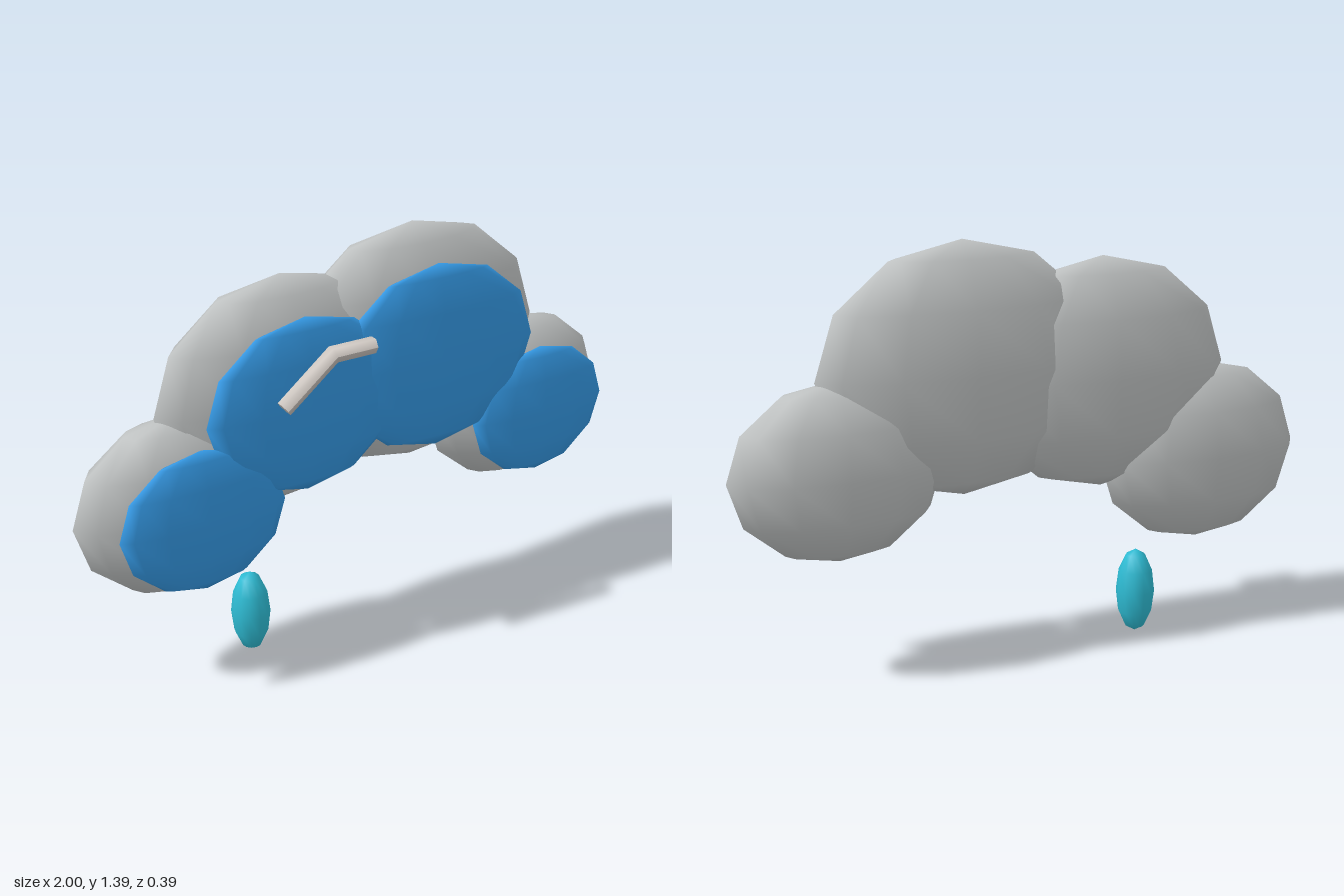
import * as THREE from 'three';

export function createModel() {
  const model = new THREE.Group();
  model.name = 'cloud';

  const material = (name, color) => {
    const m = new THREE.MeshStandardMaterial({ color });
    m.name = name;
    return m;
  };
  const grey = material('cloudGrey', 0xbec1c1);
  const blue = material('faceBlue', 0x3498e3);
  const teal = material('dropTeal', 0x2ebcd4);
  const pale = material('browPale', 0xcfc8c2);

  // Smooth low-poly ellipsoid
  const ellipsoid = (name, mat, [x, y, z], [rx, ry, rz]) => {
    const geometry = new THREE.SphereGeometry(1, 12, 6);
    geometry.scale(rx, ry, rz);
    const mesh = new THREE.Mesh(geometry, mat);
    mesh.name = name;
    mesh.position.set(x, y, z);
    model.add(mesh);
  };

  // Puffs: centre x, y, outer radii, then the radii of the blue front panel
  const puffs = [
    ['rightSide', -0.63, 0.623, 0.37, 0.308, 0.285, 0.24],
    ['rightTop', -0.262, 0.925, 0.45, 0.385, 0.348, 0.293],
    ['leftTop', 0.225, 0.98, 0.488, 0.412, 0.378, 0.315],
    ['leftSide', 0.647, 0.692, 0.353, 0.292, 0.27, 0.228],
  ];
  for (const [name, x, y, rx, ry, px, py] of puffs) {
    ellipsoid(name + 'Puff', grey, [x, y, -0.05], [rx, ry, 0.146]);
    ellipsoid(name + 'Panel', blue, [x, y, 0.102], [px, py, 0.046]);
  }

  // Raindrop under the right side
  ellipsoid('raindrop', teal, [-0.4, 0.149, -0.05], [0.065, 0.147, 0.067]);

  // Bent hexagonal bar: a cylinder whose three rings follow a mitred path
  const path = [[-0.38, 0.965], [-0.205, 1.105], [-0.06, 1.105]].map(p => new THREE.Vector2(...p));
  const dirs = [path[1].clone().sub(path[0]).normalize(), path[2].clone().sub(path[1]).normalize()];
  const middle = dirs[0].clone().add(dirs[1]).normalize();
  const tangents = [dirs[0], middle, dirs[1]];
  const bar = new THREE.CylinderGeometry(0.027, 0.027, 2, 6, 2);
  const pos = bar.attributes.position;
  for (let i = 0; i < pos.count; i++) {
    const ring = Math.round(pos.getY(i)) + 1;
    const t = tangents[ring];
    const offset = pos.getX(i) * (ring === 1 ? 1 / middle.dot(dirs[0]) : 1);
    pos.setXYZ(i, path[ring].x + t.y * offset, path[ring].y - t.x * offset, pos.getZ(i) + 0.171);
  }
  bar.computeVertexNormals();
  const brow = new THREE.Mesh(bar, pale);
  brow.name = 'bentBar';
  model.add(brow);

  return model;
}
